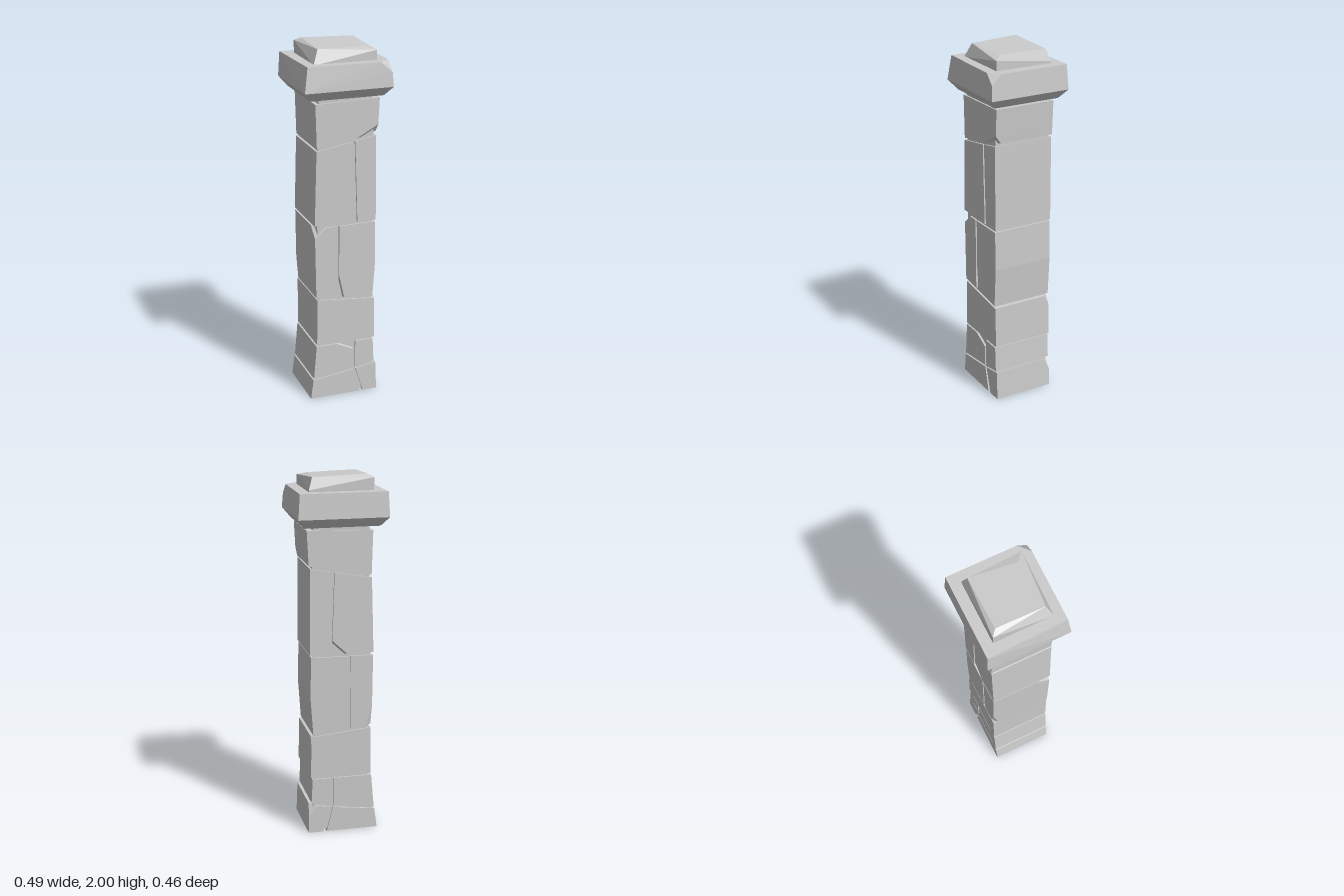
import * as THREE from 'three';
import { ConvexGeometry } from 'three/addons/geometries/ConvexGeometry.js';

const material = new THREE.MeshStandardMaterial({ color: 0xcccccc, flatShading: true });
const D = 0.172; // half depth of the shaft stones

// Flat-faced convex stone from its corner points
function hull(name, points) {
  const mesh = new THREE.Mesh(new ConvexGeometry(points.map(p => new THREE.Vector3(...p))), material);
  mesh.name = name;
  return mesh;
}

// Stone with a front outline carried through the depth. A chip replaces one
// corner (index, side: 1 front / -1 back) by three points around it.
function stone(name, outline, chip) {
  const points = [];
  for (const side of [1, -1]) {
    outline.forEach(([x, y], i) => {
      if (chip && chip.corner === i && chip.side === side) points.push(...chip.points);
      else points.push([x, y, side * D]);
    });
  }
  return hull(name, points);
}

export function createModel() {
  const group = new THREE.Group();
  group.name = 'stonePillar';

  // Shaft stones, from the ground up; outlines start at the lower left
  const stones = [
    ['footStoneWide', [[-0.205, 0], [0.085, 0], [0.05, 0.143], [-0.19, 0.112]]],
    ['footStoneNarrow', [[0.107, 0], [0.19, 0], [0.183, 0.167], [0.063, 0.146]],
      { corner: 2, side: -1, points: [[0.186, 0.1, -D], [0.135, 0.158, -D], [0.183, 0.167, -0.135]] }],
    ['lowerStoneWide', [[-0.187, 0.122], [0.045, 0.154], [0.045, 0.318], [-0.17, 0.318]],
      { corner: 2, side: 1, points: [[-0.05, 0.318, D], [0.045, 0.272, D], [0.045, 0.318, 0.09]] }],
    ['lowerStoneNarrow', [[0.06, 0.156], [0.172, 0.178], [0.165, 0.318], [0.06, 0.318]]],
    ['bandStone', [[-0.167, 0.328], [0.175, 0.328], [0.17, 0.566], [-0.165, 0.6]],
      { corner: 2, side: -1, points: [[0.171, 0.51, -D], [0.13, 0.57, -D], [0.17, 0.566, -0.145]] }],
    ['middleStoneNarrow', [[-0.17, 0.614], [-0.05, 0.602], [-0.05, 1.018], [-0.175, 1.018]],
      {
        corner: 3, side: 1,
        points: [[-0.176, 0.96, D], [-0.11, 1.018, D], [-0.175, 1.018, 0.1]],
      }],
    ['middleStoneWide', [[-0.037, 0.602], [0.16, 0.577], [0.175, 0.8], [0.17, 1.022], [-0.037, 1.018]],
      { corner: 0, side: 1, points: [[-0.037, 0.73, D], [-0.008, 0.598, D], [-0.037, 0.602, 0.13]] }],
    ['upperStoneWide', [[-0.177, 1.034], [0.055, 1.032], [0.04, 1.485], [-0.165, 1.45]],
      { corner: 1, side: -1, points: [[0.052, 1.11, -D], [-0.03, 1.033, -D], [0.055, 1.032, -0.11]] }],
    ['upperStoneNarrow', [[0.068, 1.032], [0.175, 1.032], [0.172, 1.51], [0.053, 1.488]]],
    ['neckStone', [[-0.163, 1.463], [0.18, 1.525], [0.19, 1.715], [-0.17, 1.705]],
      { corner: 1, side: 1, points: [[0.06, 1.503, D], [0.183, 1.57, D], [0.18, 1.525, 0.14]] }],
  ];
  for (const [name, outline, chip] of stones) {
    const mesh = stone(name, outline, chip);
    // Second broken corner, low on the back of the narrow middle stone
    if (name === 'middleStoneNarrow') {
      mesh.geometry = new ConvexGeometry([
        ...outline.slice(0, 3).map(([x, y]) => [x, y, D]), ...chip.points,
        ...outline.slice(1).map(([x, y]) => [x, y, -D]),
        [-0.172, 0.74, -D], [-0.138, 0.611, -D], [-0.17, 0.614, -0.145],
      ].map(p => new THREE.Vector3(...p)));
    }
    group.add(mesh);
  }

  // Recessed mortar core that shows in the joints
  const profile = [[-0.19, 0.015], [0.174, 0.015], [0.155, 0.3], [0.16, 0.45], [0.15, 0.575], [0.16, 0.8],
    [0.157, 1.1], [0.16, 1.5], [0.155, 1.73], [-0.15, 1.73], [-0.153, 1.45], [-0.16, 1.03], [-0.156, 0.6],
    [-0.155, 0.32]];
  const core = new THREE.Mesh(new THREE.ExtrudeGeometry(
    new THREE.Shape(profile.map(p => new THREE.Vector2(...p))),
    { depth: 0.324, bevelEnabled: false }).translate(0, 0, -0.162), material);
  core.name = 'mortarCore';
  group.add(core);

  // Overhanging cap with a bevelled underside and one broken top corner
  const ring = (x, y, z) => [[-x, y, -z], [x, y, -z], [x, y, z], [-x, y, z]];
  group.add(hull('capStone', [
    ...ring(0.205, 1.73, 0.19), ...ring(0.245, 1.78, 0.229),
    [-0.238, 1.915, -0.222], [0.235, 1.915, -0.222], [-0.225, 1.915, 0.213],
    [0.235, 1.915, 0.165], [0.175, 1.915, 0.219], [0.239, 1.86, 0.224],
  ]));

  // Worn slab on top
  group.add(hull('topSlab', [
    ...ring(0.175, 1.91, 0.163),
    [-0.175, 1.983, -0.163], [0.175, 1.925, -0.163], [0.175, 1.968, 0.162], [-0.168, 1.925, 0.155],
    [-0.143, 2, -0.135], [0.153, 1.99, -0.14], [0.125, 1.982, 0.117], [-0.143, 1.988, 0.132],
  ]));
  return group;
}
